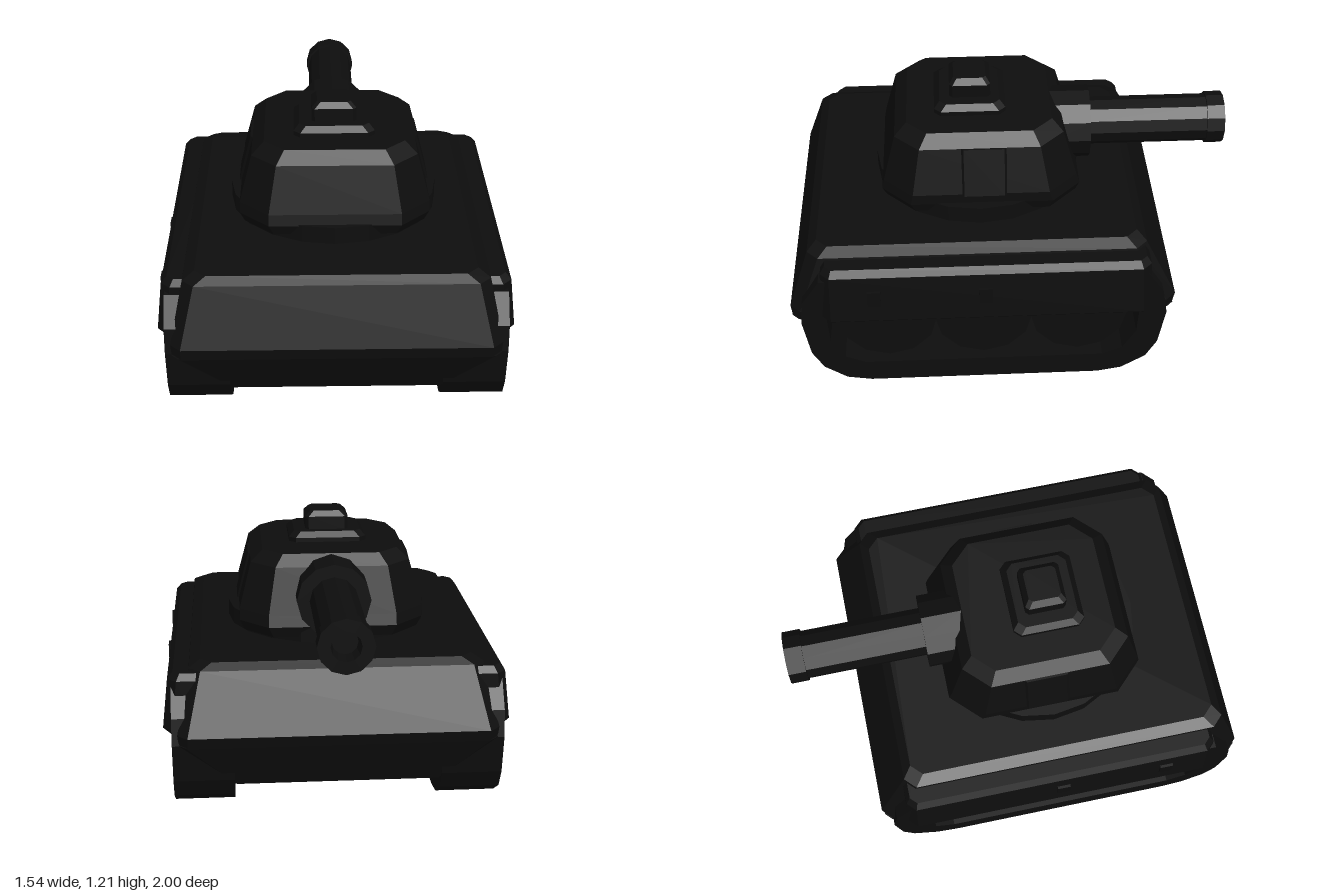
import * as THREE from 'three';

const material = new THREE.MeshStandardMaterial({ color: 0x0d0d0d, flatShading: true });

function add(parent, name, geometry, x = 0, y = 0, z = 0) {
  const mesh = new THREE.Mesh(geometry, material);
  mesh.name = name;
  mesh.position.set(x, y, z);
  parent.add(mesh);
  return mesh;
}

// Stack of corner-cut rectangles, each level [y, xA, xB, z0, z1, corner]
function loft(levels) {
  const rings = levels.map(([y, xA, xB, z0, z1, c]) => {
    const x0 = Math.min(xA, xB), x1 = Math.max(xA, xB);
    return [
      [x1, z0 + c], [x1, z1 - c], [x1 - c, z1], [x0 + c, z1],
      [x0, z1 - c], [x0, z0 + c], [x0 + c, z0], [x1 - c, z0],
    ].map(([x, z]) => [x, y, z]);
  });
  const out = [];
  const tri = (...corners) => corners.forEach((p) => out.push(...p));
  for (let k = 0; k < rings.length - 1; k++) {
    const a = rings[k], b = rings[k + 1];
    for (let i = 0; i < 8; i++) {
      const j = (i + 1) % 8;
      tri(a[i], b[i], b[j]);
      tri(a[i], b[j], a[j]);
    }
  }
  const low = rings[0], top = rings[rings.length - 1];
  for (let i = 1; i < 7; i++) {
    tri(low[0], low[i], low[i + 1]);
    tri(top[0], top[i + 1], top[i]);
  }
  const geometry = new THREE.BufferGeometry();
  geometry.setAttribute('position', new THREE.Float32BufferAttribute(out, 3));
  geometry.computeVertexNormals();
  return geometry;
}

// Track loop drawn in (z, y) and extruded across its width
function trackGeometry() {
  const points = (list) => list.map(([z, y]) => new THREE.Vector2(z, y));
  const shape = new THREE.Shape(points([
    [-0.38, 0], [0.66, 0], [0.77, 0.02], [0.87, 0.09], [0.92, 0.18], [0.95, 0.36],
    [0.94, 0.48], [0.86, 0.6], [-0.58, 0.6], [-0.66, 0.48], [-0.68, 0.36],
    [-0.65, 0.18], [-0.6, 0.09], [-0.49, 0.02],
  ]));
  shape.holes.push(new THREE.Path(points([
    [-0.4, 0.11], [-0.49, 0.15], [-0.55, 0.25], [-0.56, 0.42],
    [0.84, 0.42], [0.83, 0.25], [0.77, 0.15], [0.68, 0.11],
  ])));
  const geometry = new THREE.ExtrudeGeometry(shape, { depth: 0.27, bevelEnabled: false });
  return geometry.rotateY(-Math.PI / 2);
}

export function createModel() {
  const tank = new THREE.Group();
  tank.name = 'tank';

  // Hull: upper body, narrow belly and the two flared end plates
  add(tank, 'upperHull', loft([
    [0.36, -0.7, 0.7, -0.715, 0.995, 0.04],
    [0.41, -0.705, 0.705, -0.725, 1, 0.045],
    [0.67, -0.65, 0.65, -0.59, 0.91, 0.05],
    [0.697, -0.6, 0.6, -0.55, 0.87, 0.05],
  ]));
  add(tank, 'belly', loft([
    [0.15, -0.46, 0.46, -0.6, 0.88, 0.01],
    [0.37, -0.46, 0.46, -0.6, 0.88, 0.01],
  ]));
  add(tank, 'frontPlate', loft([
    [0.15, -0.46, 0.46, 0.84, 0.9, 0.01],
    [0.365, -0.7, 0.7, 0.85, 0.995, 0.03],
  ]));
  add(tank, 'rearPlate', loft([
    [0.15, -0.46, 0.46, -0.63, -0.57, 0.01],
    [0.365, -0.7, 0.7, -0.715, -0.57, 0.03],
  ]));

  // Running gear and skirts on both sides
  const track = trackGeometry();
  const wheel = new THREE.CylinderGeometry(0.22, 0.22, 0.21, 12).rotateZ(Math.PI / 2);
  const hub = new THREE.CylinderGeometry(0.07, 0.07, 0.02, 10).rotateZ(Math.PI / 2);
  for (const s of [1, -1]) {
    const side = new THREE.Group();
    side.name = s > 0 ? 'leftSide' : 'rightSide';
    tank.add(side);
    add(side, 'track', track, s > 0 ? 0.73 : -0.46);
    for (const z of [0.57, 0.14, -0.29]) {
      add(side, 'wheel', wheel, s * 0.585, 0.34, z);
      add(side, 'wheelHub', hub, s * 0.695, 0.34, z);
    }
    add(side, 'skirt', loft([
      [0.365, s * 0.58, s * 0.73, -0.58, 0.83, 0.02],
      [0.405, s * 0.58, s * 0.77, -0.61, 0.855, 0.04],
      [0.63, s * 0.58, s * 0.745, -0.6, 0.85, 0.04],
      [0.66, s * 0.58, s * 0.72, -0.58, 0.83, 0.03],
    ]));
    for (const z of [0.62, 0.13]) {
      add(side, 'skirtBolt', new THREE.BoxGeometry(0.03, 0.08, 0.06), s * 0.75, 0.52, z);
    }
  }

  // Turret on its ring
  const turret = new THREE.Group();
  turret.name = 'turret';
  tank.add(turret);
  add(turret, 'turretRing', new THREE.CylinderGeometry(0.47, 0.47, 0.09, 20), 0, 0.73, 0.14);
  add(turret, 'turretBody', loft([
    [0.72, -0.4, 0.4, -0.3, 0.56, 0.13],
    [0.77, -0.42, 0.42, -0.315, 0.58, 0.13],
    [0.82, -0.42, 0.42, -0.3, 0.57, 0.13],
    [1.03, -0.365, 0.365, -0.24, 0.515, 0.11],
    [1.08, -0.31, 0.31, -0.19, 0.46, 0.09],
  ]));
  for (const s of [1, -1]) {
    add(turret, 'sidePanel', loft([
      [0.815, s * 0.36, s * 0.43, 0.02, 0.22, 0.01],
      [1.03, s * 0.31, s * 0.375, 0.02, 0.22, 0.01],
    ]));
  }

  // Commander's hatch
  add(turret, 'hatchBase', loft([
    [1.07, -0.18, 0.18, 0.015, 0.335, 0.03],
    [1.1, -0.18, 0.18, 0.015, 0.335, 0.03],
    [1.125, -0.155, 0.155, 0.04, 0.31, 0.03],
  ]));
  add(turret, 'hatch', loft([
    [1.12, -0.1, 0.1, 0.08, 0.265, 0.015],
    [1.185, -0.1, 0.1, 0.08, 0.265, 0.015],
    [1.21, -0.075, 0.075, 0.1, 0.245, 0.015],
  ]));

  // Gun: mantlet collar, barrel and hollow muzzle
  const profile = [
    [0, 0.19], [0.167, 0.19], [0.167, 0.375], [0.11, 0.375], [0.11, 0.92],
    [0.12, 0.92], [0.12, 1], [0.065, 1], [0.055, 0.93], [0, 0.93],
  ].map(([r, d]) => new THREE.Vector2(r, d));
  add(turret, 'gun', new THREE.LatheGeometry(profile, 12), 0, 0.91, 0).rotation.x = -Math.PI / 2;

  return tank;
}
